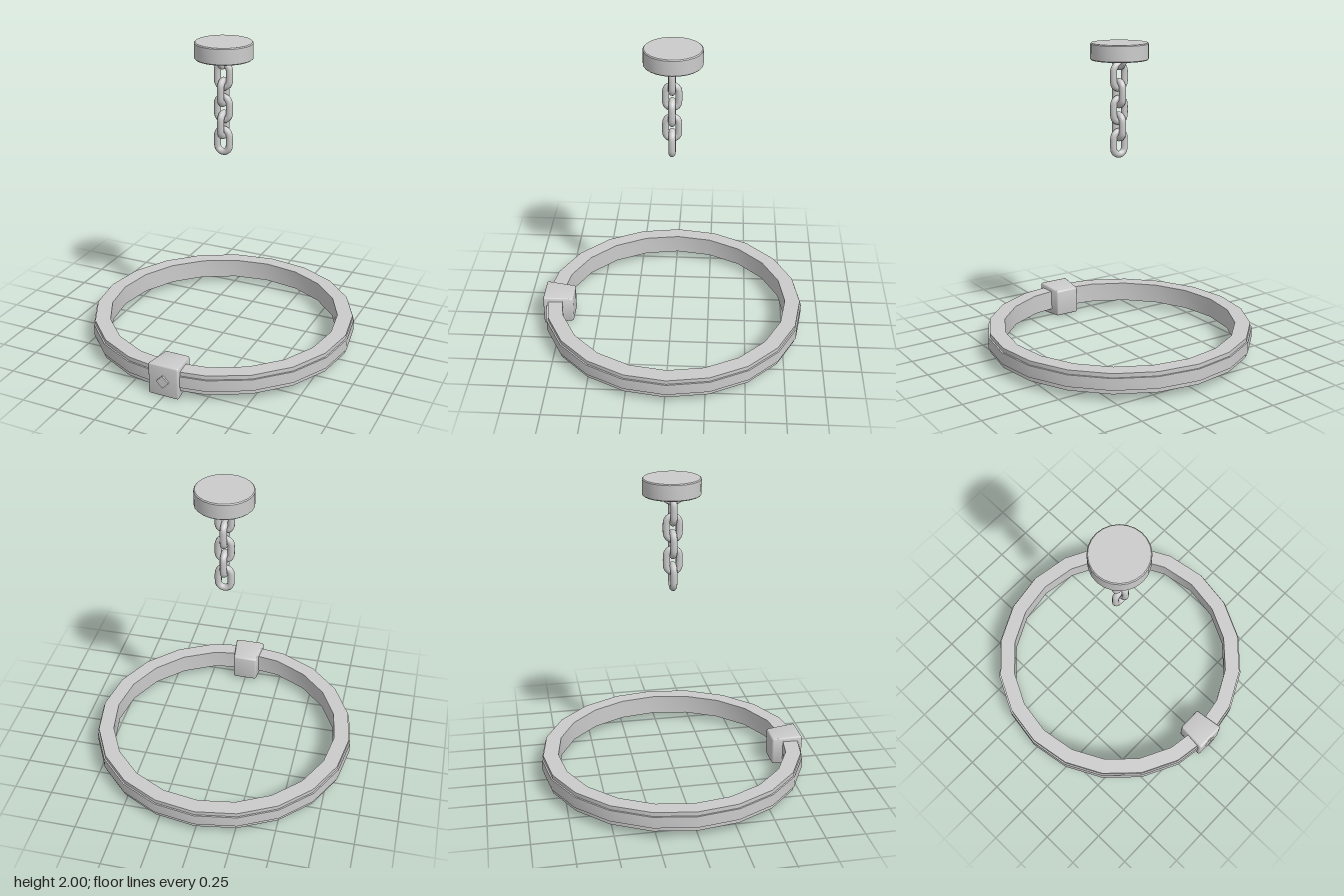
import * as THREE from 'three';
import { toCreasedNormals } from 'three/addons/utils/BufferGeometryUtils.js';
import { RoundedBoxGeometry } from 'three/addons/geometries/RoundedBoxGeometry.js';

const material = new THREE.MeshStandardMaterial({ color: 0xcccccc });
const CENTER_Z = -0.01;

function addMesh(parent, name, geometry, x = 0, y = 0, z = 0) {
  const mesh = new THREE.Mesh(geometry, material);
  mesh.name = name;
  mesh.position.set(x, y, z);
  parent.add(mesh);
  return mesh;
}

// Lathe from [radius, y] pairs, keeping profile edges sharp
function lathe(profile, sides) {
  const points = profile.map(([r, y]) => new THREE.Vector2(r, y));
  return toCreasedNormals(new THREE.LatheGeometry(points, sides), 0.5);
}

// Oval link standing in the xy plane
function linkGeometry(radius, halfStraight, tube) {
  const points = [];
  for (const side of [1, -1]) {
    for (let i = 0; i <= 8; i++) {
      const a = (i / 8) * Math.PI + (side < 0 ? Math.PI : 0);
      points.push(new THREE.Vector3(Math.cos(a) * radius, Math.sin(a) * radius + side * halfStraight, 0));
    }
  }
  const path = new THREE.CatmullRomCurve3(points, true, 'centripetal');
  return new THREE.TubeGeometry(path, 40, tube, 10, true);
}

export function createModel() {
  const model = new THREE.Group();

  // Hoop with a raised band around its outer wall
  const hoop = [
    [0.757, 0.05], [0.857, 0.05], [0.857, 0.077], [0.867, 0.077],
    [0.867, 0.153], [0.857, 0.153], [0.857, 0.18], [0.757, 0.18], [0.757, 0.05],
  ];
  addMesh(model, 'hoop', lathe(hoop, 20), 0, 0, CENTER_Z);

  // Clasp block, tapering toward the inside of the hoop
  const clasp = new RoundedBoxGeometry(0.206, 0.214, 0.2, 2, 0.013);
  const pos = clasp.attributes.position;
  for (let i = 0; i < pos.count; i++) {
    const t = 0.5 - pos.getZ(i) / 0.2;
    pos.setX(i, pos.getX(i) * (1 - 0.2 * t));
    pos.setY(i, pos.getY(i) * (1 - 0.15 * t));
  }
  addMesh(model, 'clasp', toCreasedNormals(clasp, 0.6), 0, 0.107, 0.763);

  // Diamond stud on the clasp
  const stud = addMesh(model, 'claspStud', new THREE.BoxGeometry(0.06, 0.06, 0.03), 0, 0.107, 0.86);
  stud.rotation.z = Math.PI / 4;

  // Ceiling mount disc
  const disc = [[0, 1.895], [0.176, 1.895], [0.182, 1.901], [0.182, 1.994], [0.176, 2], [0, 2]];
  addMesh(model, 'mountDisc', lathe(disc, 24), 0, 0, CENTER_Z);

  // Half loop under the disc
  const loop = addMesh(model, 'mountLoop',
    new THREE.TorusGeometry(0.065, 0.016, 10, 20, Math.PI), 0, 1.91, -0.002);
  loop.rotation.set(0, Math.PI / 2, Math.PI, 'YXZ');

  // Chain of links, each turned a quarter from the last
  const chain = new THREE.Group();
  chain.name = 'chain';
  model.add(chain);
  const link = linkGeometry(0.04, 0.033, 0.022);
  for (let i = 0; i < 5; i++) {
    const mesh = addMesh(chain, 'chainLink' + (i + 1), link, 0, 1.79 - i * 0.105, -0.004);
    mesh.rotation.y = (i % 2) * Math.PI / 2;
  }

  return model;
}
